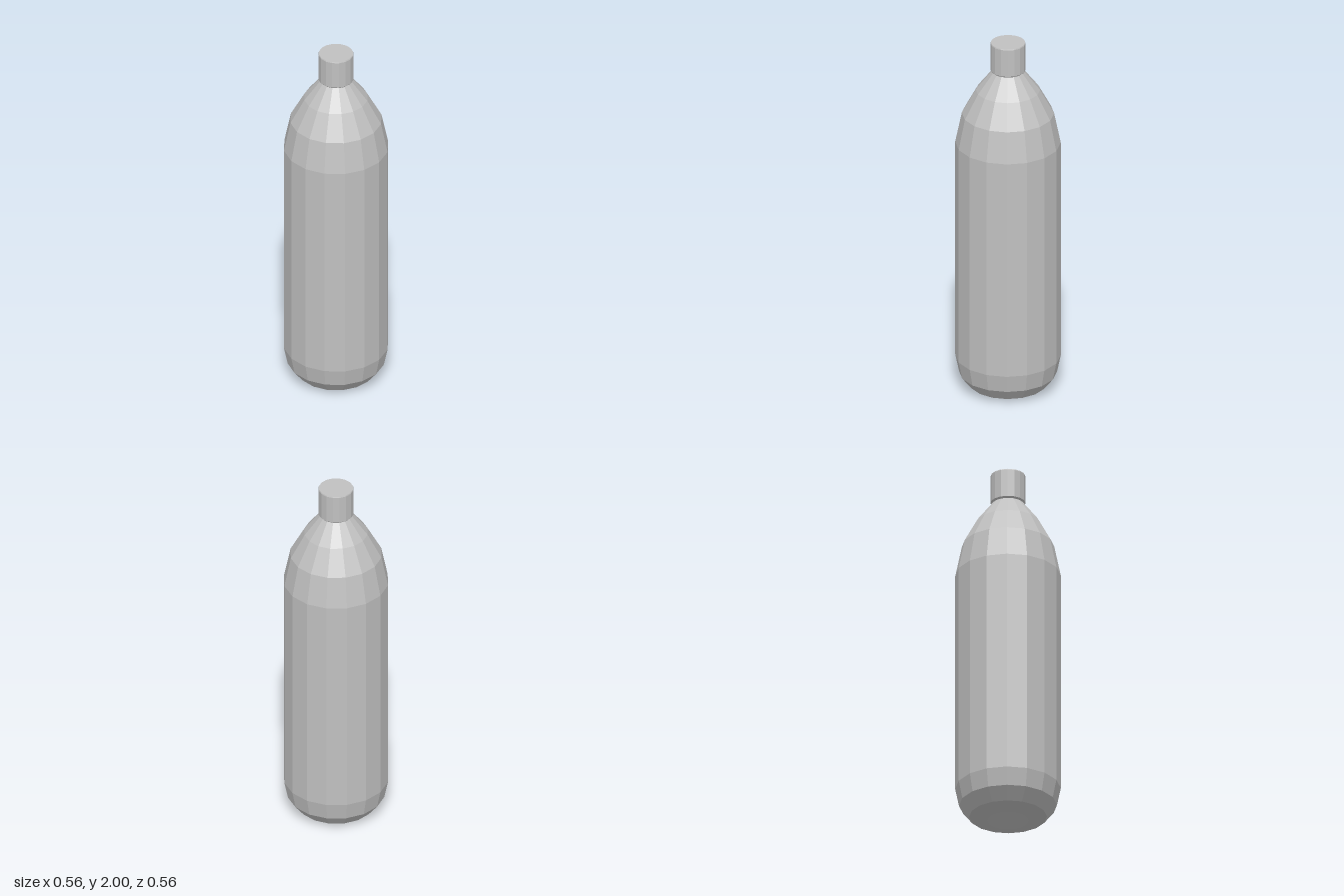
import * as THREE from 'three';

const SIDES = 16;

// Faceted solid of revolution from [radius, height] pairs, listed bottom to top
function turned(name, profile, material) {
  const points = profile.map(([r, y]) => new THREE.Vector2(r, y));
  const mesh = new THREE.Mesh(new THREE.LatheGeometry(points, SIDES), material);
  mesh.name = name;
  return mesh;
}

export function createModel() {
  const grey = new THREE.MeshStandardMaterial({ color: 0xc0c0c0, flatShading: true });
  grey.name = 'grey';

  const bottle = new THREE.Group();
  bottle.name = 'bottle';

  // Body: dimpled base, rounded foot, straight wall, tapered shoulder and neck
  bottle.add(turned('body', [
    [0, 0.035], [0.107, 0], [0.205, 0.022], [0.258, 0.088], [0.278, 0.185],
    [0.278, 1.42], [0.243, 1.59], [0.169, 1.725], [0.083, 1.835], [0.083, 1.85],
  ], grey));

  // Cap: short closed cylinder, slightly wider than the neck
  bottle.add(turned('cap', [
    [0, 1.835], [0.086, 1.835], [0.093, 1.842], [0.093, 1.995], [0.091, 2], [0, 2],
  ], grey));

  return bottle;
}
